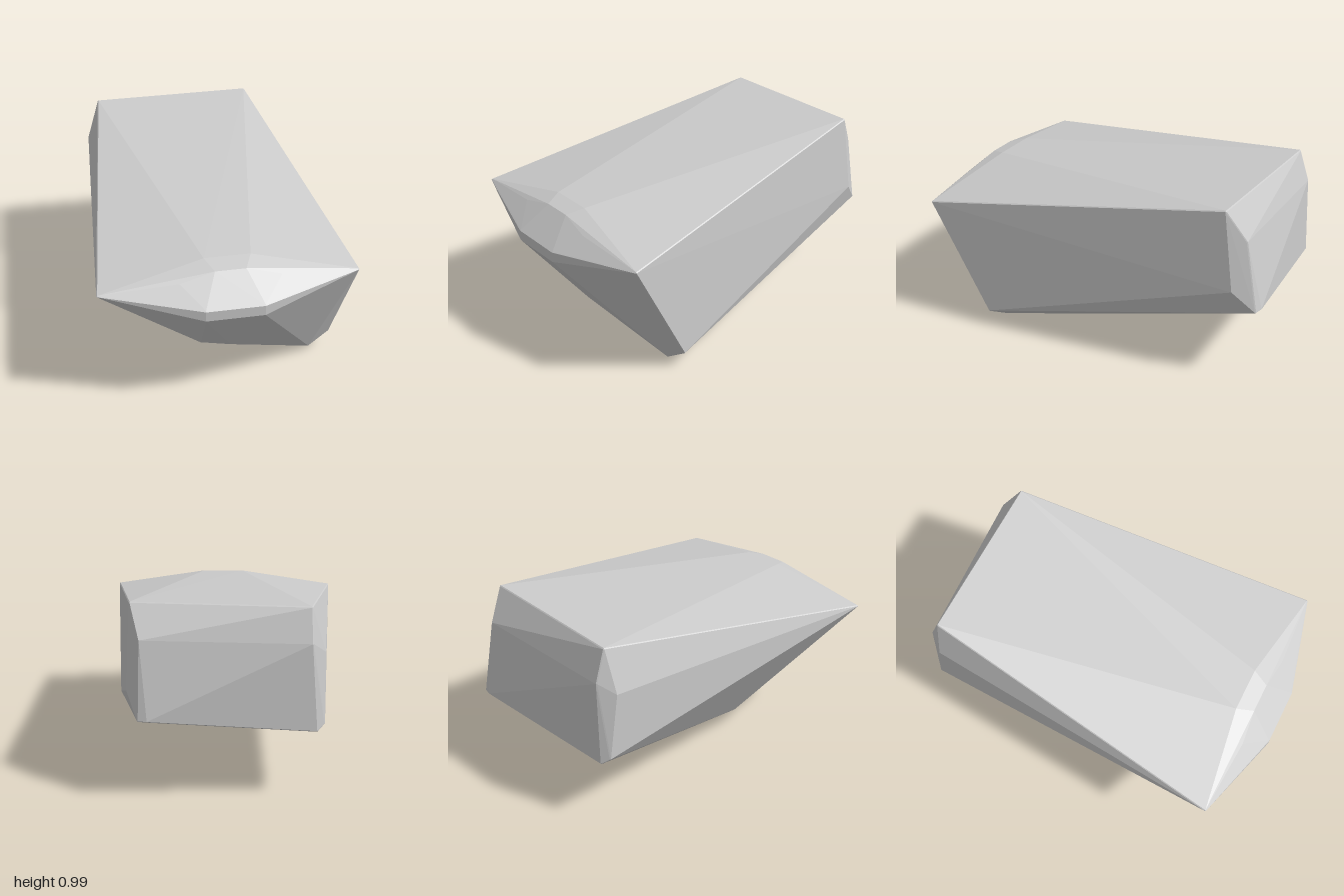
import * as THREE from 'three';
import { ConvexGeometry } from 'three/addons/geometries/ConvexGeometry.js';

// Corners of the chipped stone, grouped by region.
const bodyCorners = [
  // top rear edge
  [-0.465, 0.97, -0.835], [0.43, 0.985, -0.815],
  // rear face and its chamfers
  [-0.47, 0.8, -0.89], [-0.535, 0.74, -0.82], [0.38, 0.82, -0.915], [0.445, 0.55, -0.875],
  [0.34, 0.43, -0.995], [0.385, 0.43, -0.985],
  [-0.535, 0.385, -0.87], [-0.5, 0.355, -0.9],
  // underside
  [-0.285, 0.095, 0.27], [0.49, 0.005, 0.51], [0.52, 0.02, 0.55], [0.635, 0.095, 0.53],
  // slanting ridge across the front
  [-0.12, 0.24, 0.69], [0.04, 0.22, 0.71],
];

// Left and right halves of the worn front lip: [x, y, z], mirrored in x.
const lipCorners = [
  [0.665, 0.715, 0.855],
  [0.15, 0.6, 0.995], [0.15, 0.655, 0.995],
  [0.26, 0.69, 0.935], [0.26, 0.75, 0.88],
  [0.08, 0.79, 0.86], [0.12, 0.815, 0.77],
];

export function createModel() {
  const corners = [...bodyCorners];
  for (const [x, y, z] of lipCorners) corners.push([x, y, z], [-x, y, z]);

  // Each corner becomes a tiny octahedron so that the hull has narrow bevels.
  const bevel = 0.005;
  const points = [];
  for (const c of corners) {
    for (let axis = 0; axis < 3; axis++) {
      for (const s of [-bevel, bevel]) {
        const p = new THREE.Vector3(...c);
        p.setComponent(axis, c[axis] + s);
        points.push(p);
      }
    }
  }

  const stone = new THREE.Mesh(
    new ConvexGeometry(points),
    new THREE.MeshStandardMaterial({ color: 0xcccccc, flatShading: true })
  );
  stone.name = 'stone';

  const group = new THREE.Group();
  group.name = 'chippedRock';
  group.add(stone);
  return group;
}
